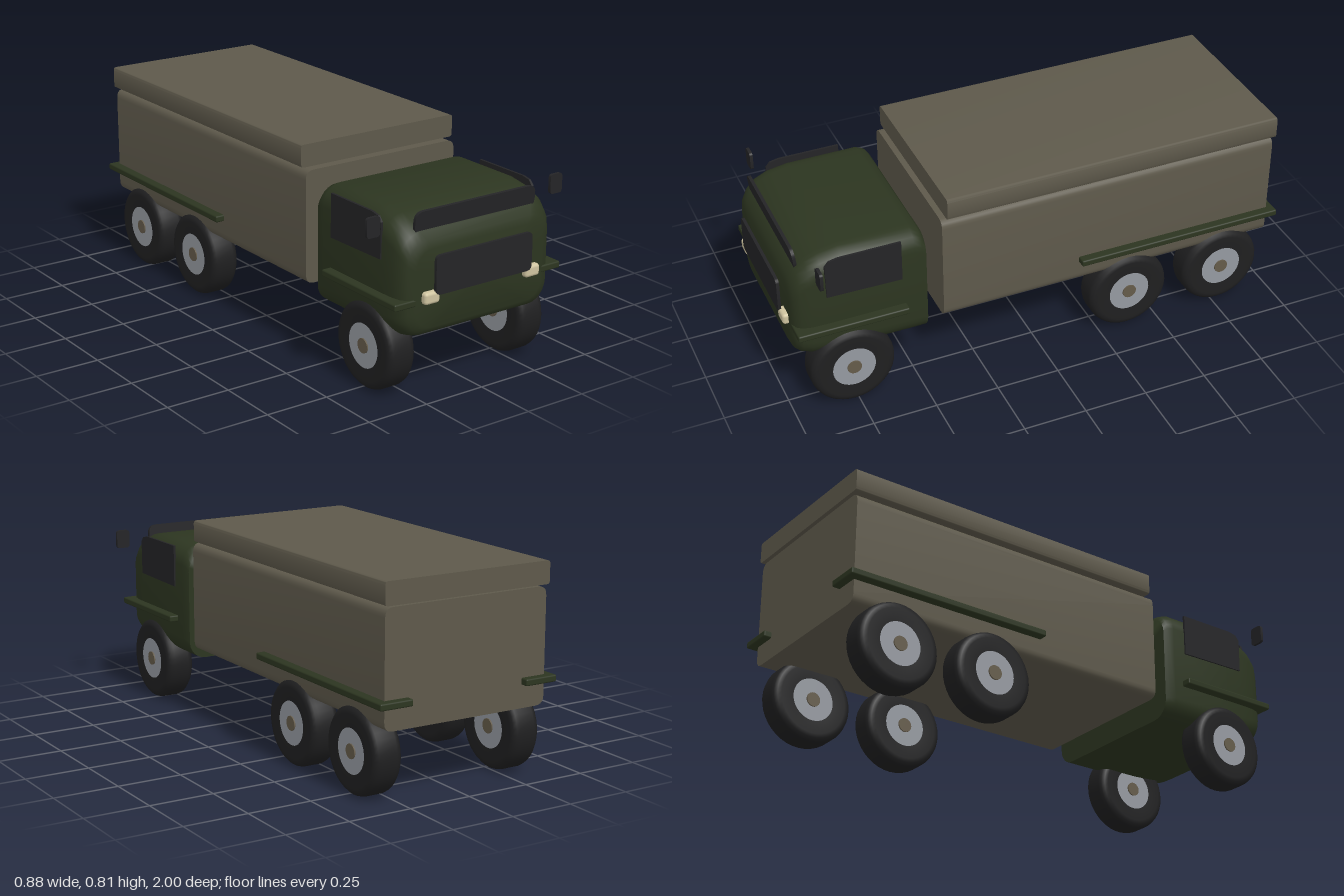
import * as THREE from 'three';
import { mergeVertices, toCreasedNormals } from 'three/addons/utils/BufferGeometryUtils.js';
import { RoundedBoxGeometry } from 'three/addons/geometries/RoundedBoxGeometry.js';

const material = (name, color) => {
  const m = new THREE.MeshStandardMaterial({ color });
  m.name = name;
  return m;
};

// Rounded rectangle centred on the origin
function roundedRect(w, h, r) {
  const s = new THREE.Shape(), x = w / 2, y = h / 2;
  s.moveTo(-x + r, -y);
  s.lineTo(x - r, -y);
  s.quadraticCurveTo(x, -y, x, -y + r);
  s.lineTo(x, y - r);
  s.quadraticCurveTo(x, y, x - r, y);
  s.lineTo(-x + r, y);
  s.quadraticCurveTo(-x, y, -x, y - r);
  s.lineTo(-x, -y + r);
  s.quadraticCurveTo(-x, -y, -x + r, -y);
  return s;
}

// Rounded rectangle extruded along z and centred
function slab(w, h, d, r) {
  const g = new THREE.ExtrudeGeometry(roundedRect(w, h, r), { depth: d, bevelEnabled: false, curveSegments: 5 });
  g.translate(0, 0, -d / 2);
  return toCreasedNormals(g, 0.7);
}

// Cab shell lofted through rounded cross-sections from back to front
function cabGeometry() {
  // z, half width, bottom, top, corner radius
  const sections = [
    [0.46, 0.332, 0.225, 0.655, 0.07],
    [0.475, 0.336, 0.225, 0.675, 0.075],
    [0.505, 0.34, 0.225, 0.688, 0.08],
    [0.78, 0.341, 0.228, 0.687, 0.08],
    [0.86, 0.341, 0.233, 0.674, 0.08],
    [0.91, 0.339, 0.238, 0.652, 0.08],
    [0.945, 0.331, 0.245, 0.622, 0.08],
    [0.965, 0.315, 0.255, 0.594, 0.08],
    [0.975, 0.285, 0.275, 0.565, 0.07],
  ];
  const steps = 6, n = 4 * (steps + 1), pos = [], index = [];
  for (const [z, w, y0, y1, r] of sections) {
    for (let c = 0; c < 4; c++) {
      const cx = (c === 0 || c === 3 ? 1 : -1) * (w - r);
      const cy = c < 2 ? y1 - r : y0 + r;
      for (let i = 0; i <= steps; i++) {
        const a = (c + i / steps) * Math.PI / 2;
        pos.push(cx + r * Math.cos(a), cy + r * Math.sin(a), z);
      }
    }
  }
  const last = sections.length - 1;
  for (let s = 0; s < last; s++) {
    for (let i = 0; i < n; i++) {
      const a = s * n + i, b = s * n + (i + 1) % n;
      index.push(a, b, b + n, a, b + n, a + n);
    }
  }
  // Back and front caps
  pos.push(0, 0.45, sections[0][0], 0, 0.42, sections[last][0]);
  const back = n * (last + 1), front = back + 1;
  for (let i = 0; i < n; i++) {
    const j = (i + 1) % n;
    index.push(back, j, i, front, last * n + i, last * n + j);
  }
  const g = new THREE.BufferGeometry();
  g.setAttribute('position', new THREE.Float32BufferAttribute(pos, 3));
  g.setIndex(index);
  return toCreasedNormals(mergeVertices(g), 0.9);
}

export function createModel() {
  const truck = new THREE.Group();
  truck.name = 'truck';

  const green = material('cab green', 0x2c3520);
  const canvas = material('cargo taupe', 0x5e594b);
  const black = material('dark glass', 0x242426);
  const rubber = material('tyre black', 0x1f1f20);
  const steel = material('rim grey', 0x9599a0);
  const brass = material('hub cap brown', 0x645b4a);
  const cream = material('headlight cream', 0xcfc4a0);

  const add = (name, geometry, mat, x = 0, y = 0, z = 0, parent = truck) => {
    const mesh = new THREE.Mesh(geometry, mat);
    mesh.name = name;
    mesh.position.set(x, y, z);
    parent.add(mesh);
    return mesh;
  };

  // Main bodies
  add('cab', cabGeometry(), green);
  add('cargoBox', slab(0.684, 0.435, 1.37, 0.035), canvas, 0, 0.4975, -0.285);
  add('cargoCover', slab(0.696, 0.086, 1.36, 0.012), canvas, 0, 0.765, -0.3);

  // Windscreen and grille panel
  add('windscreen', slab(0.54, 0.086, 0.012, 0.035), black, 0, 0.653, 0.938).rotation.x = 0.1;
  add('grille', slab(0.434, 0.145, 0.012, 0.022), black, 0, 0.472, 0.993);

  // Side window outline, drawn with z along the shape's x axis
  const pane = new THREE.Shape([[0.56, 0.51], [0.85, 0.515], [0.852, 0.65], [0.835, 0.67], [0.8, 0.677], [0.56, 0.677]]
    .map(([z, y]) => new THREE.Vector2(-z, y)));
  const paneGeometry = new THREE.ExtrudeGeometry(pane, { depth: 0.009, bevelEnabled: false });
  paneGeometry.rotateY(Math.PI / 2);

  // Wheel parts, axis along x
  const tyreProfile = [[0.084, -0.055], [0.135, -0.0575], [0.15, -0.054], [0.161, -0.043], [0.165, -0.03],
    [0.165, 0.03], [0.161, 0.043], [0.15, 0.054], [0.135, 0.0575], [0.084, 0.055]]
    .map(([r, y]) => new THREE.Vector2(r, y));
  const tyre = new THREE.LatheGeometry(tyreProfile, 40).rotateZ(Math.PI / 2);
  const rim = new THREE.CylinderGeometry(0.086, 0.086, 0.108, 32).rotateZ(Math.PI / 2);
  const cap = new THREE.CylinderGeometry(0.028, 0.028, 0.118, 20).rotateZ(Math.PI / 2);

  const headlight = new RoundedBoxGeometry(0.066, 0.045, 0.036, 3, 0.012);
  const mirror = slab(0.056, 0.074, 0.012, 0.014);
  const frontFender = new RoundedBoxGeometry(0.135, 0.026, 0.43, 2, 0.006);
  const rearFender = new RoundedBoxGeometry(0.135, 0.026, 0.845, 2, 0.006);

  for (const [side, label] of [[1, 'left'], [-1, 'right']]) {
    add(label + 'SideWindow', paneGeometry, black, side * 0.342 - 0.0045);
    add(label + 'Mirror', mirror, black, side * 0.413, 0.659, 0.893);
    add(label + 'Headlight', headlight, cream, side * 0.228, 0.392, 0.979);
    add(label + 'FrontFender', frontFender, green, side * 0.309, 0.379, 0.76);
    add(label + 'RearFender', rearFender, green, side * 0.309, 0.379, -0.5775);

    // One front axle and two rear axles
    [['Front', 0.765], ['Middle', -0.372], ['Rear', -0.778]].forEach(([axle, z]) => {
      const wheel = new THREE.Group();
      wheel.name = label + axle + 'Wheel';
      wheel.position.set(side * 0.2975, 0.167, z);
      truck.add(wheel);
      add('tyre', tyre, rubber, 0, 0, 0, wheel);
      add('rim', rim, steel, 0, 0, 0, wheel);
      add('hubCap', cap, brass, 0, 0, 0, wheel);
    });
  }
  return truck;
}
